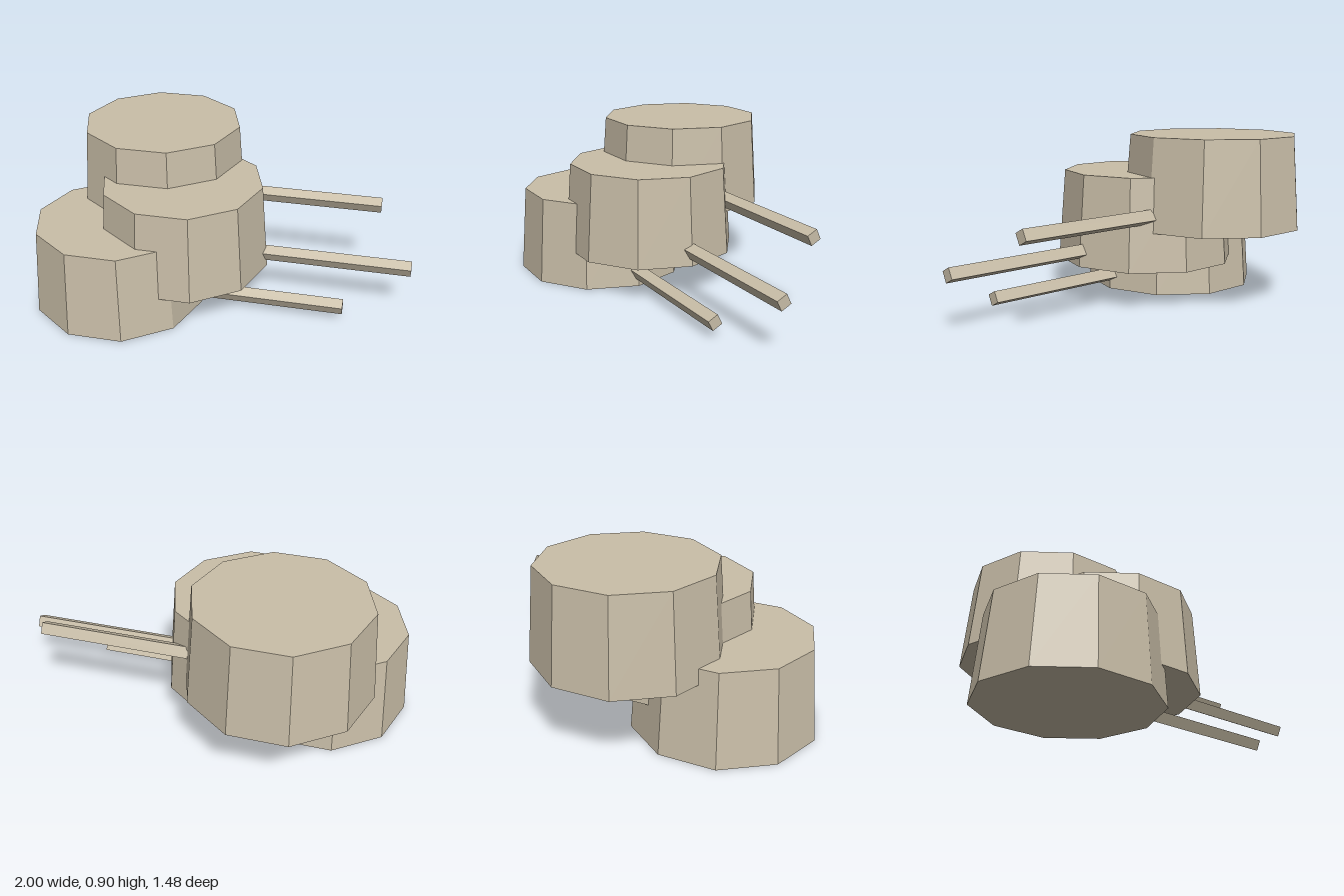
import * as THREE from 'three';

const STEP = Math.PI / 10; // 18 degrees, half a side of the ten-sided turret

export function createModel() {
  const model = new THREE.Group();
  model.name = 'stackedTurrets';
  const stone = new THREE.MeshStandardMaterial({ color: 0xc9bea8, flatShading: true });
  stone.name = 'warm stone';

  // tapered ten-sided drum, base at y = 0
  const drumGeo = new THREE.CylinderGeometry(0.455, 0.491, 0.493, 10);
  drumGeo.translate(0, 0.2465, 0);

  // square bar rolled about its axis, leaving the drum through a corner
  const inner = 0.3, outer = 1.295;
  const barGeo = new THREE.CylinderGeometry(0.0435, 0.0435, outer - inner, 4);
  barGeo.rotateZ(-Math.PI / 2);
  barGeo.rotateX(-STEP);
  barGeo.translate((inner + outer) / 2, 0.084, 0);
  barGeo.rotateY(STEP);

  const places = {
    lowerTurret: [-0.533, 0, 0.247],
    middleTurret: [-0.246, 0.206, 0],
    upperTurret: [-0.533, 0.412, -0.247],
  };
  for (const [name, position] of Object.entries(places)) {
    const turret = new THREE.Group();
    turret.name = name;
    const drum = new THREE.Mesh(drumGeo, stone);
    drum.name = 'drum';
    const barrel = new THREE.Mesh(barGeo, stone);
    barrel.name = 'barrel';
    turret.add(drum, barrel);
    turret.position.set(...position);
    model.add(turret);
  }
  return model;
}
